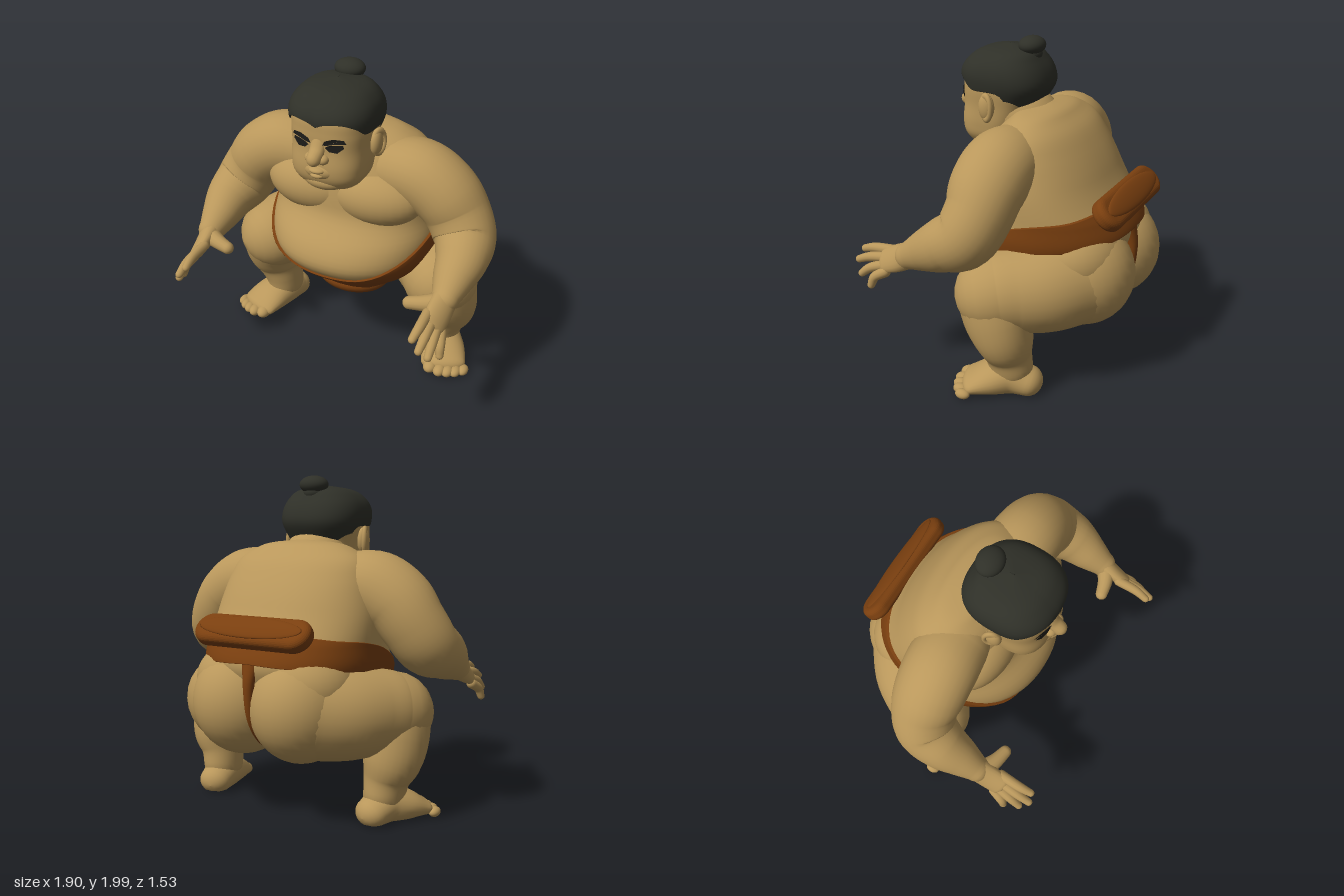
import * as THREE from 'three';

const mat = (name, color) => {
  const m = new THREE.MeshStandardMaterial({ color, side: THREE.DoubleSide });
  m.name = name;
  return m;
};

// Smooth interpolation of table rows [key, ...values]
function spline(table, key) {
  const n = table.length;
  let i = 0;
  while (i < n - 2 && key > table[i + 1][0]) i++;
  const a = table[i], b = table[i + 1], h = b[0] - a[0];
  const t = THREE.MathUtils.clamp((key - a[0]) / h, 0, 1);
  const slope = (k, c) => {
    const p = table[Math.max(k - 1, 0)], q = table[Math.min(k + 1, n - 1)];
    return (q[c] - p[c]) / (q[0] - p[0]);
  };
  return a.slice(1).map((v, k) => {
    const c = k + 1, t2 = t * t, t3 = t2 * t;
    return (2 * t3 - 3 * t2 + 1) * v + (t3 - 2 * t2 + t) * h * slope(i, c)
      + (3 * t2 - 2 * t3) * b[c] + (t3 - t2) * h * slope(i + 1, c);
  });
}

// Closed rings joined into a surface
function rings(rows, cols, point) {
  const pos = [], idx = [];
  for (let i = 0; i <= rows; i++)
    for (let j = 0; j < cols; j++) pos.push(...point(i, (j / cols) * Math.PI * 2));
  for (let i = 0; i < rows; i++)
    for (let j = 0; j < cols; j++) {
      const a = i * cols + j, b = i * cols + (j + 1) % cols;
      idx.push(a, b, a + cols, b, b + cols, a + cols);
    }
  const g = new THREE.BufferGeometry();
  g.setAttribute('position', new THREE.Float32BufferAttribute(pos, 3));
  g.setIndex(idx);
  g.computeVertexNormals();
  return g;
}

// Band of a profile [y, halfWidth, zFront, zBack] between two heights that vary with angle
const sgnPow = (v, p) => Math.sign(v) * Math.abs(v) ** p;
function band(profile, low, high, power, offset = 0, rows = 56) {
  return rings(rows, 64, (i, th) => {
    const a = th > Math.PI ? Math.PI * 2 - th : th;
    const lo = low(a), hi = high(a);
    const y = lo + (hi - lo) * (0.5 - 0.5 * Math.cos(Math.PI * i / rows));
    const [rx, zf, zb] = spline(profile, y);
    const o = offset && (i === 0 || i === rows) ? -0.008 : offset;
    return [(Math.max(rx, 0) + o) * sgnPow(Math.sin(th), 2 / power), y,
      (zf + zb) / 2 + (Math.abs(zf - zb) / 2 + o) * sgnPow(Math.cos(th), 2 / power)];
  });
}

// Limb through points [x, y, z, radiusA, radiusB] with rounded ends
function limb(points, { hint = [0, 1, 0], cols = 28, floor = -1 } = {}) {
  const curve = (f) => new THREE.CatmullRomCurve3(points.map(f), false, 'catmullrom', 0.5);
  const path = curve((p) => new THREE.Vector3(p[0], p[1], p[2]));
  const size = curve((p) => new THREE.Vector3(p[3], p[4] ?? p[3], 0));
  const cap = 6, body = (points.length - 1) * 6, rows = body + cap * 2;
  return rings(rows, cols, (i, th) => {
    const t = THREE.MathUtils.clamp((i - cap) / body, 0, 1);
    const c = path.getPoint(t), r = size.getPoint(t), T = path.getTangent(t);
    const U = new THREE.Vector3(...hint).cross(T).normalize();
    const V = T.clone().cross(U);
    const e = i < cap ? i - cap : Math.max(0, i - cap - body);
    const ang = (e / cap) * Math.PI / 2, k = Math.max(Math.cos(ang), 0.001);
    c.addScaledVector(T, Math.sin(ang) * Math.min(r.x, r.y));
    c.addScaledVector(U, r.x * k * Math.cos(th)).addScaledVector(V, r.y * k * Math.sin(th));
    return [c.x, Math.max(c.y, floor), c.z];
  });
}

const ball = (x, y, z, rx, ry, rz) =>
  new THREE.SphereGeometry(1, 32, 20).scale(rx, ry, rz).translate(x, y, z);

const TORSO = [
  [0.40, 0, -0.1, -0.12], [0.43, 0.14, 0.02, -0.3], [0.5, 0.27, 0.09, -0.46], [0.6, 0.38, 0.19, -0.55],
  [0.7, 0.46, 0.32, -0.6], [0.8, 0.515, 0.39, -0.65], [0.92, 0.54, 0.36, -0.69], [1.04, 0.535, 0.26, -0.642],
  [1.1, 0.535, 0.23, -0.6], [1.2, 0.53, 0.22, -0.54], [1.3, 0.51, 0.205, -0.49],
  [1.4, 0.48, 0.165, -0.43], [1.5, 0.43, 0.11, -0.355], [1.56, 0.34, 0.05, -0.28], [1.6, 0.22, 0, -0.22],
  [1.62, 0, -0.1, -0.12],
];
const HEAD = [
  [1.315, 0, 0.24, 0.22], [1.335, 0.13, 0.32, 0.1], [1.4, 0.208, 0.385, 0.03], [1.48, 0.228, 0.405, 0],
  [1.6, 0.232, 0.395, -0.05], [1.7, 0.24, 0.395, -0.09], [1.8, 0.23, 0.38, -0.09], [1.87, 0.17, 0.3, -0.03],
  [1.9, 0, 0.15, 0.14],
];
const HAIR = [
  [1.56, 0.19, 0.36, -0.03], [1.64, 0.225, 0.395, -0.085], [1.72, 0.25, 0.405, -0.125], [1.8, 0.25, 0.405, -0.11],
  [1.87, 0.215, 0.355, -0.065], [1.92, 0.14, 0.27, -0.01], [1.945, 0, 0.13, 0.12],
];
// Edge heights by angle from the front
const BELT_TOP = [[0, 0.73], [0.4, 0.745], [0.9, 0.85], [1.57, 1.03], [2.3, 1.08], [3.15, 1.12]];
const BELT_LOW = [[0, 0.42], [0.5, 0.48], [1, 0.66], [1.57, 0.86], [2.3, 0.91], [3.15, 0.94]];
const HAIR_LOW = [[0, 1.75], [0.12, 1.772], [0.5, 1.78], [0.85, 1.75], [1.15, 1.7], [1.7, 1.69], [2, 1.62], [3.15, 1.58]];

export function createModel() {
  const root = new THREE.Group();
  root.name = 'wrestler';
  const skin = mat('skin', 0xb9975b), cloth = mat('belt brown', 0x7a3f0f);
  const hair = mat('hair black', 0x2f3028), dark = mat('eye black', 0x1d1c19);
  const add = (name, geometry, material, parent = root) => {
    const m = new THREE.Mesh(geometry, material);
    m.name = name;
    parent.add(m);
    return m;
  };

  // Trunk and neck
  add('torso', band(TORSO, () => 0.4, () => 1.62, 2.2), skin);
  add('neck', limb([[0, 1.4, -0.06, 0.22, 0.2], [0, 1.52, 0.04, 0.21, 0.19], [0, 1.6, 0.1, 0.2, 0.16]], { hint: [0, 0, 1] }), skin);

  // Belt, front pouch, rear strap and folded knot
  add('belt', band(TORSO, (a) => spline(BELT_LOW, a)[0], (a) => spline(BELT_TOP, a)[0], 2.2, 0.016, 20), cloth);
  add('beltPouch', ball(0, 0.505, -0.06, 0.245, 0.1, 0.19), cloth);
  add('rearStrap', limb([[0, 0.96, -0.665, 0.055, 0.03], [0, 0.8, -0.685, 0.032], [0, 0.6, -0.65, 0.03],
    [0, 0.46, -0.52, 0.035, 0.03], [0, 0.41, -0.32, 0.07, 0.03], [0, 0.43, -0.05, 0.14, 0.03]], { hint: [0, 0.3, -1] }), cloth);
  const pad = new THREE.Shape();
  pad.absarc(0.29, 0, 0.06, -Math.PI / 2, Math.PI / 2);
  pad.absarc(-0.29, 0, 0.06, Math.PI / 2, Math.PI * 1.5);
  const padGeo = new THREE.ExtrudeGeometry(pad, {
    depth: 0.025, bevelThickness: 0.035, bevelSize: 0.04, bevelSegments: 6, curveSegments: 12,
  });
  const knot = add('beltKnot', padGeo, cloth);
  knot.position.set(0, 1.12, -0.65);
  knot.rotation.x = 0.8;
  const fold = add('beltKnotFold', ball(0, 0, 0, 0.35, 0.075, 0.02), cloth);
  fold.position.set(0, 1.145, -0.675);
  fold.rotation.x = 0.8;

  // Head and hair
  add('head', band(HEAD, () => 1.315, () => 1.9, 2.7), skin);
  add('hair', band(HAIR, (a) => spline(HAIR_LOW, a)[0], () => 1.945, 2.5, 0.006, 24), hair);
  add('topknot', ball(0, 1.945, -0.01, 0.092, 0.055, 0.078), hair);
  add('topknotBase', ball(0, 1.895, 0, 0.07, 0.05, 0.07), hair);

  // Nose, mouth and chin
  add('noseBridge', limb([[0, 1.67, 0.365, 0.045, 0.03], [0, 1.61, 0.395, 0.045, 0.035], [0, 1.57, 0.436, 0.042]], { hint: [0, 0, 1], cols: 16 }), skin);
  add('muzzle', ball(0, 1.475, 0.34, 0.12, 0.065, 0.08), skin);
  add('upperLip', ball(0, 1.488, 0.4, 0.05, 0.02, 0.038), skin);
  add('lowerLip', ball(0, 1.455, 0.395, 0.045, 0.018, 0.035), skin);
  add('chin', ball(0, 1.39, 0.315, 0.13, 0.06, 0.075), skin);

  // Thin plate wrapped on the face
  const facePlate = (pts) => {
    const g = new THREE.ShapeGeometry(new THREE.Shape(pts.map((p) => new THREE.Vector2(...p))));
    const p = g.attributes.position;
    for (let i = 0; i < p.count; i++) {
      const [rx, zf, zb] = spline(HEAD, p.getY(i));
      const k = (1 - Math.abs(p.getX(i) / rx) ** 2.7) ** (1 / 2.7);
      p.setZ(i, (zf + zb) / 2 + (zf - zb) / 2 * k + 0.008);
    }
    g.computeVertexNormals();
    return g;
  };

  for (const s of [1, -1]) {
    const side = new THREE.Group();
    side.name = s > 0 ? 'leftSide' : 'rightSide';
    root.add(side);
    const part = (name, geo, m = skin) => add(name, geo, m, side);
    const limbS = (pts, o) => limb(pts.map(([x, ...r]) => [x * s, ...r]), o);
    const plateS = (pts) => facePlate(pts.map(([x, y]) => [x * s, y]));

    // Face details
    part('eyebrow', plateS([[0.035, 1.648], [0.06, 1.65], [0.1, 1.662], [0.165, 1.666], [0.155, 1.688], [0.1, 1.694], [0.05, 1.675]]), dark);
    part('eye', plateS([[0.05, 1.636], [0.075, 1.614], [0.12, 1.61], [0.155, 1.64], [0.15, 1.66], [0.1, 1.658], [0.07, 1.65]]), dark);
    part('nostril', ball(0.038 * s, 1.56, 0.4, 0.035, 0.03, 0.035));
    part('ear', ball(0.25 * s, 1.61, 0.16, 0.035, 0.08, 0.05));
    part('earRim', new THREE.TorusGeometry(0.047, 0.015, 10, 24).scale(0.9, 1.45, 1).rotateY(s * 1.15).translate(0.262 * s, 1.61, 0.155));

    // Chest, buttock and hip
    part('chest', ball(0.2 * s, 1.21, 0.055, 0.31, 0.19, 0.195));
    part('buttock', ball(0.205 * s, 0.68, -0.45, 0.3, 0.325, 0.32));
    part('hip', ball(0.21 * s, 0.8, -0.42, 0.31, 0.24, 0.285));

    // Arm
    part('arm', limbS([[0.3, 1.35, -0.06, 0.2, 0.21], [0.46, 1.345, -0.05, 0.21, 0.22], [0.6, 1.265, -0.045, 0.205, 0.215], [0.69, 1.15, -0.04, 0.195],
      [0.76, 1.03, 0.01, 0.185], [0.79, 0.965, 0.13, 0.157], [0.79, 0.9, 0.26, 0.12], [0.79, 0.845, 0.37, 0.082]], { hint: [0, 0.5, 1] }));

    // Hand with fingers and thumb
    part('palm', limbS([[0.79, 0.845, 0.37, 0.08, 0.065], [0.79, 0.81, 0.45, 0.085, 0.05], [0.79, 0.775, 0.54, 0.08, 0.038]],
      { hint: [0.75 * s, 0.65, 0], cols: 20 }));
    [[0.745, 0.825, 0.74, 0.79, 0.735], [0.775, 0.79, 0.785, 0.735, 0.75], [0.805, 0.755, 0.825, 0.67, 0.705], [0.83, 0.72, 0.86, 0.63, 0.615]]
      .forEach(([x0, y0, x1, y1, z1]) => part('finger', limbS([[x0, y0, 0.52, 0.032],
        [(x0 + x1) / 2 + 0.005, (y0 + y1) / 2 + 0.008, (0.53 + z1) / 2 + 0.01, 0.029], [x1, y1, z1 - 0.01, 0.023]], { cols: 12 })));
    part('thumb', limbS([[0.77, 0.83, 0.41, 0.06], [0.69, 0.825, 0.445, 0.047], [0.61, 0.815, 0.465, 0.038]], { cols: 14 }));

    // Leg
    part('thigh', limbS([[0.26, 0.66, -0.42, 0.29], [0.42, 0.645, -0.31, 0.275], [0.54, 0.64, -0.16, 0.25], [0.595, 0.63, -0.08, 0.235]]));
    part('shin', limbS([[0.61, 0.6, -0.08, 0.21, 0.215], [0.635, 0.48, -0.12, 0.19, 0.2], [0.63, 0.36, -0.16, 0.175, 0.17],
      [0.605, 0.25, -0.17, 0.135, 0.142], [0.595, 0.16, -0.18, 0.12, 0.135]], { hint: [0, 0, 1] }));

    // Foot and toes
    part('foot', limbS([[0.575, 0.075, -0.285, 0.105, 0.088], [0.6, 0.1, -0.18, 0.12, 0.11], [0.65, 0.085, -0.07, 0.14, 0.095],
      [0.69, 0.058, 0.03, 0.142, 0.058]], { floor: 0.012 }));
    [[0.625, 0.08, 0.046], [0.69, 0.09, 0.04], [0.74, 0.077, 0.037], [0.785, 0.055, 0.035], [0.825, 0.02, 0.033]]
      .forEach(([x, z, r]) => part('toe', ball(x * s, r * 0.9 + 0.006, z, r, r * 0.9, r * 1.4)));
  }
  return root;
}
